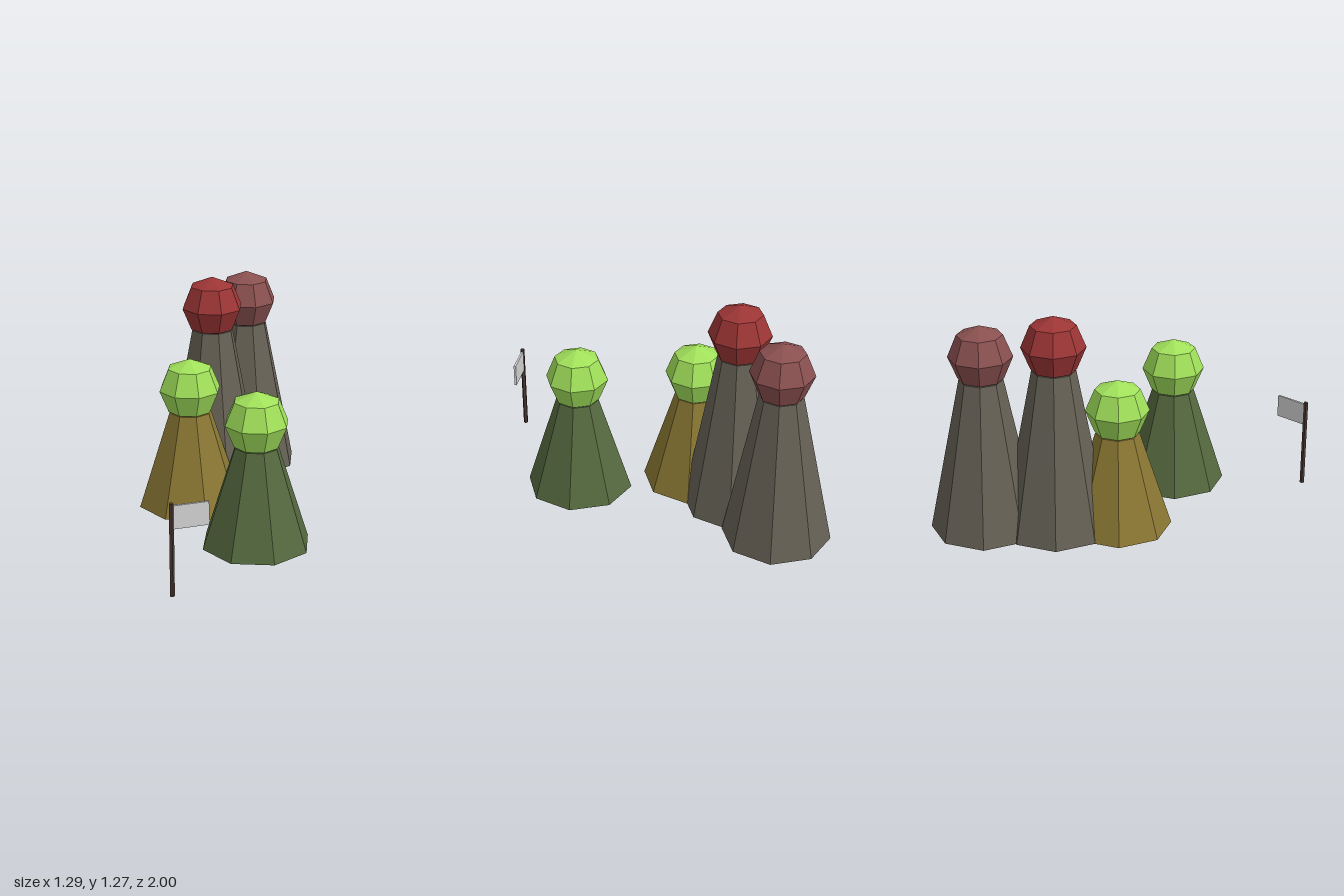
import * as THREE from 'three';

const paint = (name, color, flatShading = true) => {
  const m = new THREE.MeshStandardMaterial({ color, flatShading });
  m.name = name;
  return m;
};

export function createModel() {
  const model = new THREE.Group();
  model.name = 'pegsAndFlag';

  const lime = paint('lime', 0xa0e05a);
  const moss = paint('moss', 0x55693f);
  const ochre = paint('ochre', 0x8a7733);
  const stone = paint('stone', 0x666155);
  const red = paint('red', 0x9c3535);
  const dustyRose = paint('dustyRose', 0x8a5050);
  const darkWood = paint('darkWood', 0x4a3832);
  const paleGrey = paint('paleGrey', 0xd4d4d4);

  const add = (parent, name, geometry, material, x, y, z) => {
    const mesh = new THREE.Mesh(geometry, material);
    mesh.name = name;
    mesh.position.set(x, y, z);
    parent.add(mesh);
  };

  // Pegs: tapered octagonal body with a faceted ball head
  const headRadius = 0.18;
  const headGeometry = new THREE.SphereGeometry(headRadius, 8, 4);
  const pegs = [
    ['frontPeg', -0.012, 0.507, 0.708, moss, lime],
    ['secondPeg', -0.187, -0.157, 0.698, ochre, lime],
    ['thirdPeg', 0.035, -0.428, 1.09, stone, red],
    ['backPeg', 0.335, -0.692, 1.03, stone, dustyRose],
  ];
  for (const [name, x, z, headY, bodyColour, headColour] of pegs) {
    const peg = new THREE.Group();
    peg.name = name;
    peg.position.set(x, 0, z);
    const h = headY - 0.134;
    add(peg, 'body', new THREE.CylinderGeometry(0.123, 0.308, h, 8), bodyColour, 0, h / 2, 0);
    add(peg, 'head', headGeometry, headColour, 0, headY, 0);
    model.add(peg);
  }

  // Flag on a thin pole
  const flag = new THREE.Group();
  flag.name = 'flag';
  flag.position.set(-0.634, 0, 0.987);
  add(flag, 'pole', new THREE.CylinderGeometry(0.0135, 0.0135, 0.52, 5), darkWood, 0, 0.26, 0);
  add(flag, 'banner', new THREE.BoxGeometry(0.2, 0.13, 0.013), paleGrey, 0.1, 0.443, 0);
  model.add(flag);

  return model;
}
